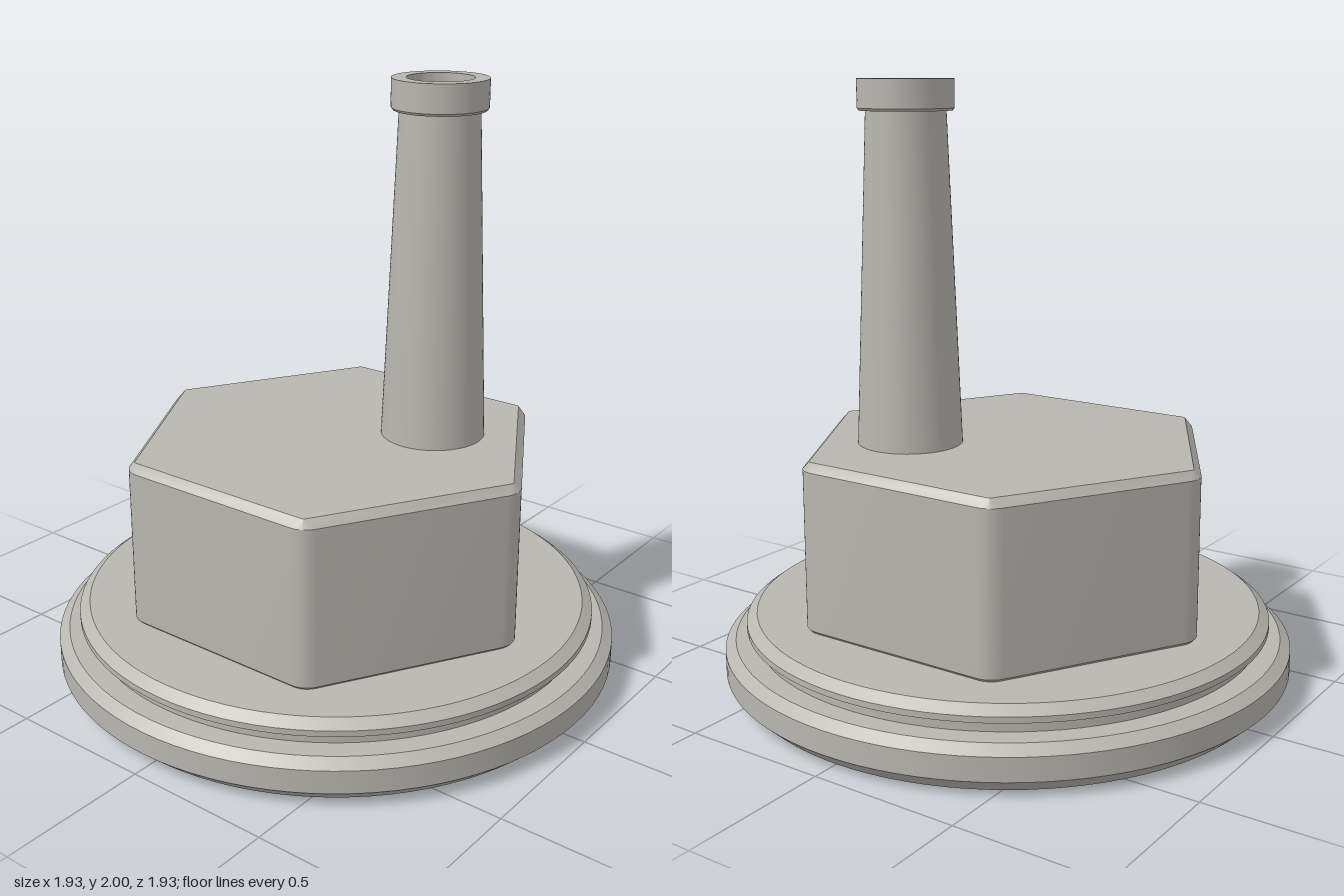
import * as THREE from 'three';
import { toCreasedNormals } from 'three/addons/utils/BufferGeometryUtils.js';

const CREASE = 0.4;

// Round part from a profile of [radius, y], listed from the bottom up
function turned(profile, segments) {
  const points = profile.map(([r, y]) => new THREE.Vector2(r, y));
  return toCreasedNormals(new THREE.LatheGeometry(points, segments), CREASE);
}

// Hexagonal prism with rounded corners, lofted through [apothem, corner radius, y]
function hexLoft(levels) {
  const steps = 6, ring = 6 * (steps + 1), positions = [], indices = [];
  for (const [apothem, r, y] of levels) {
    const reach = (apothem - r) / Math.cos(Math.PI / 6);
    for (let k = 0; k < 6; k++) {
      const corner = k * Math.PI / 3;
      for (let s = 0; s <= steps; s++) {
        const a = corner + (s / steps - 0.5) * Math.PI / 3;
        positions.push(
          reach * Math.cos(corner) + r * Math.cos(a), y,
          -reach * Math.sin(corner) - r * Math.sin(a));
      }
    }
  }
  for (let l = 0; l < levels.length - 1; l++) {
    for (let i = 0; i < ring; i++) {
      const a = l * ring + i, b = l * ring + (i + 1) % ring;
      indices.push(a, b, b + ring, a, b + ring, a + ring);
    }
  }
  const geometry = new THREE.BufferGeometry();
  geometry.setAttribute('position', new THREE.Float32BufferAttribute(positions, 3));
  geometry.setIndex(indices);
  return toCreasedNormals(geometry, CREASE);
}

export function createModel() {
  const model = new THREE.Group();
  model.name = 'hexPlug';
  const grey = new THREE.MeshStandardMaterial({ color: 0xb8b6b0 });
  grey.name = 'warm grey';

  function add(name, geometry) {
    const mesh = new THREE.Mesh(geometry, grey);
    mesh.name = name;
    model.add(mesh);
    return mesh;
  }

  // Chamfered base disc, groove and upper flange
  add('base', turned([
    [0, 0], [0.907, 0], [0.963, 0.052], [0.963, 0.13], [0.928, 0.157],
    [0.858, 0.157], [0.858, 0.185], [0.872, 0.19], [0.89, 0.198],
    [0.89, 0.218], [0.855, 0.244], [0, 0.244],
  ], 96));

  // Hexagonal body with chamfered rims
  add('hexBody', hexLoft([
    [0, 0, 0.244], [0.622, 0.07, 0.244], [0.632, 0.08, 0.254],
    [0.632, 0.08, 0.785], [0.607, 0.012, 0.812], [0, 0, 0.812],
  ]));

  // Off-centre tapered stem with a collar and a shallow bore
  const stem = add('stem', turned([
    [0.175, 0.81], [0.13, 1.9], [0.15, 1.9], [0.156, 1.908],
    [0.156, 2], [0.108, 2], [0.108, 1.925], [0, 1.925],
  ], 64));
  stem.position.set(0.25, 0, -0.212);

  return model;
}
